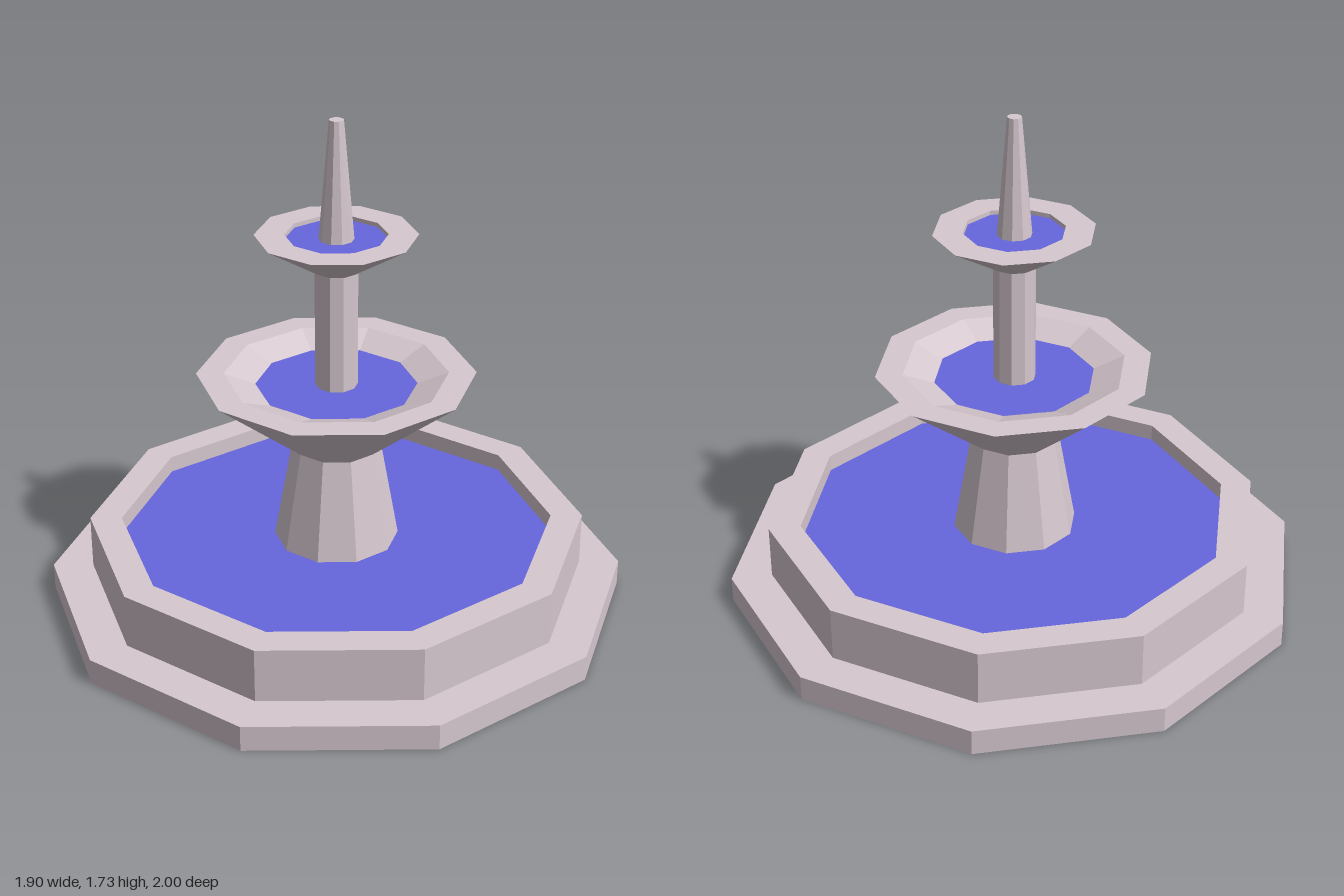
import * as THREE from 'three';

const SIDES = 10;

export function createModel() {
  const fountain = new THREE.Group();
  fountain.name = 'fountain';

  const stone = new THREE.MeshStandardMaterial({ color: 0xd6c8cf, flatShading: true });
  const water = new THREE.MeshStandardMaterial({ color: 0x6666dd, flatShading: true });

  // Ten-sided turned part; profile [radius, y] runs from bottom centre, outside, to top centre
  function turned(name, profile, material = stone) {
    const points = profile.map(([r, y]) => new THREE.Vector2(r, y));
    const mesh = new THREE.Mesh(new THREE.LatheGeometry(points, SIDES), material);
    mesh.name = name;
    fountain.add(mesh);
  }

  // Flat water surface
  const pool = (name, r, y) => turned(name, [[r, y], [0, y]], water);

  // Ground step and the large basin
  turned('baseStep', [[0, 0], [1, 0], [1, 0.09], [0, 0.09]]);
  turned('basinWall', [[0.86, 0.09], [0.86, 0.28], [0.75, 0.28], [0.75, 0.09]]);
  pool('basinWater', 0.75, 0.22);

  // Tapered pedestal carrying the lower bowl
  turned('pedestal', [[0.222, 0.18], [0.152, 0.575]]);
  turned('lowerBowl', [[0, 0.575], [0.152, 0.575], [0.473, 0.84], [0.38, 0.84], [0.272, 0.798]]);
  pool('lowerBowlWater', 0.274, 0.8);

  // Column carrying the upper bowl
  turned('column', [[0.072, 0.78], [0.072, 1.215]]);
  turned('upperBowl', [[0, 1.215], [0.073, 1.215], [0.27, 1.34], [0.17, 1.34], [0.17, 1.32]]);
  pool('upperBowlWater', 0.17, 1.325);

  // Tapered spout
  turned('spout', [[0.06, 1.31], [0.024, 1.73], [0, 1.73]]);

  return fountain;
}
